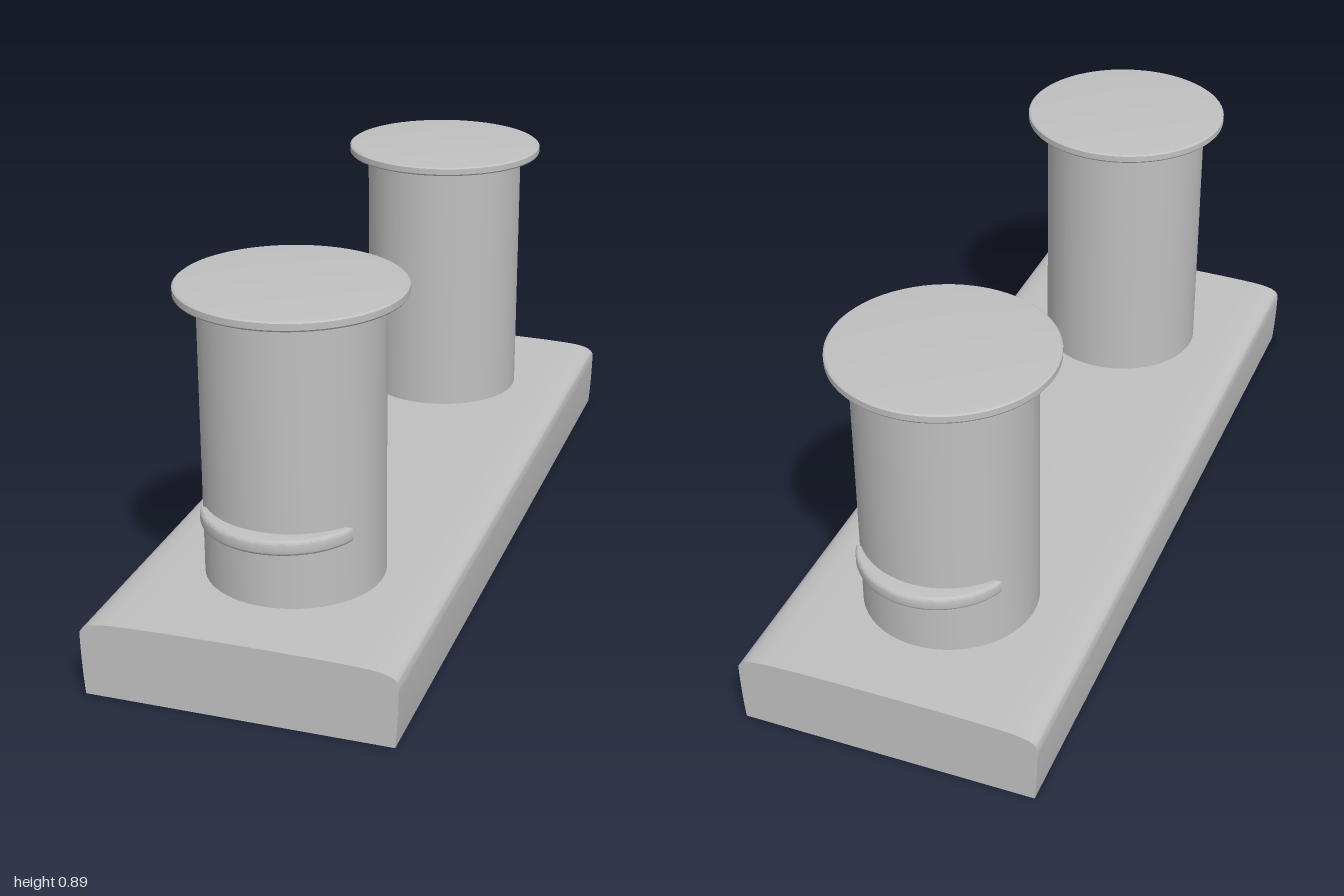
import * as THREE from 'three';
import { toCreasedNormals } from 'three/addons/utils/BufferGeometryUtils.js';

const POST_Z = 0.614, POST_R = 0.21;

function named(name, geometry, material) {
  const mesh = new THREE.Mesh(geometry, material);
  mesh.name = name;
  return mesh;
}

// Slightly flared plinth section with rounded upper edges, run along z
function baseGeometry() {
  const s = new THREE.Shape();
  s.moveTo(-0.36, 0);
  s.lineTo(0.36, 0);
  s.quadraticCurveTo(0.366, 0.06, 0.367, 0.15);
  s.bezierCurveTo(0.366, 0.172, 0.335, 0.18, 0.28, 0.182);
  s.quadraticCurveTo(0.2, 0.186, 0, 0.186);
  s.quadraticCurveTo(-0.2, 0.186, -0.28, 0.182);
  s.bezierCurveTo(-0.335, 0.18, -0.366, 0.172, -0.367, 0.15);
  s.quadraticCurveTo(-0.366, 0.06, -0.36, 0);
  const g = new THREE.ExtrudeGeometry(s, { depth: 2, bevelEnabled: false, curveSegments: 10 });
  g.translate(0, 0, -1);
  return toCreasedNormals(g, 0.6);
}

// Thin disc with a gently domed top
function capGeometry() {
  const profile = [[0, 0.852], [0.215, 0.852], [0.258, 0.858], [0.261, 0.862], [0.261, 0.877],
    [0.257, 0.88], [0.18, 0.885], [0.09, 0.887], [0, 0.888]];
  const g = new THREE.LatheGeometry(profile.map(([r, y]) => new THREE.Vector2(r, y)), 64);
  return toCreasedNormals(g, 0.5);
}

// Crescent lip on the outward side of a post; its back is buried in the post
function lipGeometry() {
  const s = new THREE.Shape();
  const r = 0.188, cz = 0.054, start = 0.42;
  s.moveTo(r * Math.cos(start), cz + r * Math.sin(start));
  s.absarc(0, cz, r, start, Math.PI - start, false);
  s.closePath();
  const g = new THREE.ExtrudeGeometry(s, {
    depth: 0.02, bevelThickness: 0.008, bevelSize: 0.008, bevelSegments: 3, curveSegments: 40,
  });
  g.rotateX(Math.PI / 2);
  g.translate(0, 0.362, 0);
  return toCreasedNormals(g, 0.7);
}

export function createModel() {
  const model = new THREE.Group();
  model.name = 'mooringBollard';
  const grey = new THREE.MeshStandardMaterial({ color: 0xc0c0c0 });
  grey.name = 'grey metal';

  model.add(named('base', baseGeometry(), grey));

  // Two posts, the rear one turned so both lips face outward
  const shaft = new THREE.CylinderGeometry(POST_R, POST_R, 0.69, 64, 1, true);
  shaft.translate(0, 0.515, 0);
  const cap = capGeometry();
  const lip = lipGeometry();
  for (const side of [1, -1]) {
    const post = new THREE.Group();
    post.name = side > 0 ? 'frontPost' : 'backPost';
    post.add(named('shaft', shaft, grey), named('cap', cap, grey), named('lip', lip, grey));
    post.position.z = side * POST_Z;
    if (side < 0) post.rotation.y = Math.PI;
    model.add(post);
  }
  return model;
}
